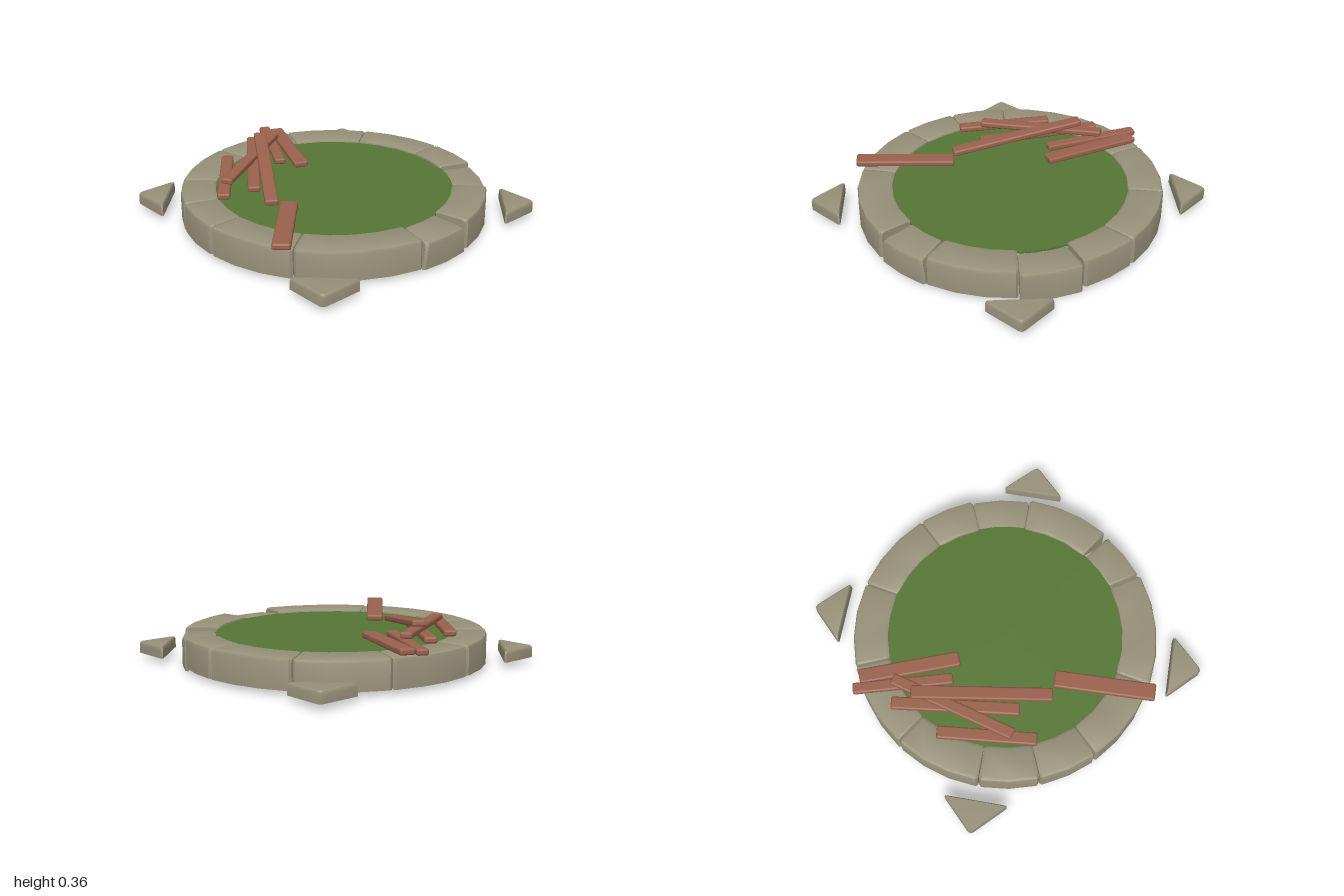
import * as THREE from 'three';
import { toCreasedNormals } from 'three/addons/utils/BufferGeometryUtils.js';
import { RoundedBoxGeometry } from 'three/addons/geometries/RoundedBoxGeometry.js';

const CX = 0.022; // ring centre on x

// Skin through rows of points; optional closed rows and fan caps.
function loft(rows, { closed = false, capFirst = false, capLast = false }) {
  const pos = [];
  const tri = (a, b, c) => pos.push(...a, ...b, ...c);
  const n = rows[0].length;
  for (let i = 0; i < rows.length - 1; i++) {
    for (let j = 0; j < (closed ? n : n - 1); j++) {
      const k = (j + 1) % n;
      const a = rows[i][j], b = rows[i][k], c = rows[i + 1][k], d = rows[i + 1][j];
      tri(a, b, c);
      tri(a, c, d);
    }
  }
  const first = rows[0], last = rows[rows.length - 1];
  for (let j = 1; j < n - 1; j++) {
    if (capFirst) tri(first[0], first[j + 1], first[j]);
    if (capLast) tri(last[0], last[j], last[j + 1]);
  }
  const g = new THREE.BufferGeometry();
  g.setAttribute('position', new THREE.Float32BufferAttribute(pos, 3));
  g.computeVertexNormals();
  return toCreasedNormals(g, 0.6);
}

// Curved rim stone: outer wall and top, hollow underneath.
function stoneGeometry(fromDeg, toDeg, { drop = 0, slope = 0, narrow = 0 }) {
  const section = (deg, inset, shift) => {
    const R = 0.978 - inset, r = 0.752 + inset * 0.4;
    const top = 0.217 - drop - inset * 0.5, outerTop = top - slope;
    return [
      [R, 0.03 - drop, 0], [R, outerTop - 0.025, 0.7], [R - 0.007, outerTop - 0.007, 1],
      [R - 0.026, outerTop, 1], [r + 0.022, top, 1], [r + 0.005, top - 0.008, 1], [r, top - 0.028, 1],
    ].map(([rad, y, s]) => {
      const a = THREE.MathUtils.degToRad(deg + shift * s);
      return [CX + rad * Math.cos(a), y, rad * Math.sin(a)];
    });
  };
  const a0 = fromDeg + 0.15, a1 = toDeg - 0.15;
  const steps = Math.max(2, Math.round((a1 - a0) / 11.25));
  const rows = [section(a0, 0.014, narrow)];
  for (let i = 0; i <= steps; i++) {
    const t = i / steps;
    rows.push(section(THREE.MathUtils.lerp(a0 + 0.9, a1 - 0.9, t), 0, narrow * (1 - 2 * t)));
  }
  rows.push(section(a1, 0.014, -narrow));
  return loft(rows, { capFirst: true, capLast: true });
}

// Triangular corner stone, open underneath.
function cornerGeometry() {
  const outline = [[0.912, -0.635], [0.912, -0.885], [0.905, -0.903], [0.887, -0.91], [0.637, -0.91], [0.63, -0.9], [0.902, -0.628]];
  const cx = 0.82, cz = -0.818;
  const level = (y, s) => outline.map(([x, z]) => [cx + (x - cx) * s, y, cz + (z - cz) * s]);
  return loft([level(0.04, 1), level(0.092, 1), level(0.107, 0.97), level(0.115, 0.9)], { closed: true, capLast: true });
}

export function createModel() {
  const model = new THREE.Group();
  model.name = 'stonePond';
  const material = (name, color) => {
    const m = new THREE.MeshStandardMaterial({ color, side: THREE.DoubleSide });
    m.name = name;
    return m;
  };
  const stone = material('stone', 0x979179);
  const water = material('greenWater', 0x567635);
  const wood = material('redBrownWood', 0x9a614d);
  const add = (name, geometry, mat, parent = model) => {
    const mesh = new THREE.Mesh(geometry, mat);
    mesh.name = name;
    parent.add(mesh);
    return mesh;
  };
  const group = (name) => {
    const g = new THREE.Group();
    g.name = name;
    model.add(g);
    return g;
  };

  // Rim of twelve stones, two of them sunken or tilted
  const rim = group('rim');
  const joints = [-90, -68, -45, -11.5, 10.5, 56, 90, 112.5, 135, 168, 202, 236, 270];
  const odd = { 1: { drop: 0.028 }, 3: { drop: 0.012, slope: 0.018, narrow: 1.3 } };
  for (let i = 0; i < 12; i++) {
    add(`rimStone${i + 1}`, stoneGeometry(joints[i], joints[i + 1], odd[i] || {}), stone, rim);
  }

  // Corner stones
  const corners = group('cornerStones');
  corners.position.x = 0.027;
  const corner = cornerGeometry();
  for (let i = 0; i < 4; i++) {
    add(`cornerStone${i + 1}`, corner, stone, corners).rotation.y = i * Math.PI / 2;
  }

  // Water surface with a short skirt
  const disc = add('waterSurface', new THREE.CircleGeometry(0.765, 48), water);
  disc.rotation.x = -Math.PI / 2;
  disc.position.set(CX, 0.2, 0);
  add('waterEdge', new THREE.CylinderGeometry(0.765, 0.765, 0.012, 48, 1, true), water).position.set(CX, 0.194, 0);

  // Loose planks: start point, end point, width
  const planks = group('planks');
  [
    [[-0.91, 0.24, -0.28], [-0.32, 0.226, -0.02], 0.095],
    [[-1.0 + 0.015, 0.243, -0.235], [-0.43, 0.238, 0.07], 0.072],
    [[-0.84, 0.262, -0.015], [-0.2, 0.228, 0.475], 0.08],
    [[-0.71, 0.342, 0.02], [0.025, 0.223, 0.515], 0.085],
    [[-0.75, 0.292, -0.135], [-0.335, 0.272, 0.59], 0.075],
    [[-0.71, 0.245, 0.3], [-0.225, 0.235, 0.695], 0.08],
    [[0.095, 0.222, 0.435], [0.555, 0.248, 0.88], 0.11],
  ].forEach(([a, b, width], i) => {
    const start = new THREE.Vector3(...a), end = new THREE.Vector3(...b);
    const plank = add(`plank${i + 1}`, new RoundedBoxGeometry(width, 0.04, start.distanceTo(end), 2, 0.013), wood, planks);
    plank.position.lerpVectors(start, end, 0.5);
    plank.lookAt(end);
  });
  return model;
}
